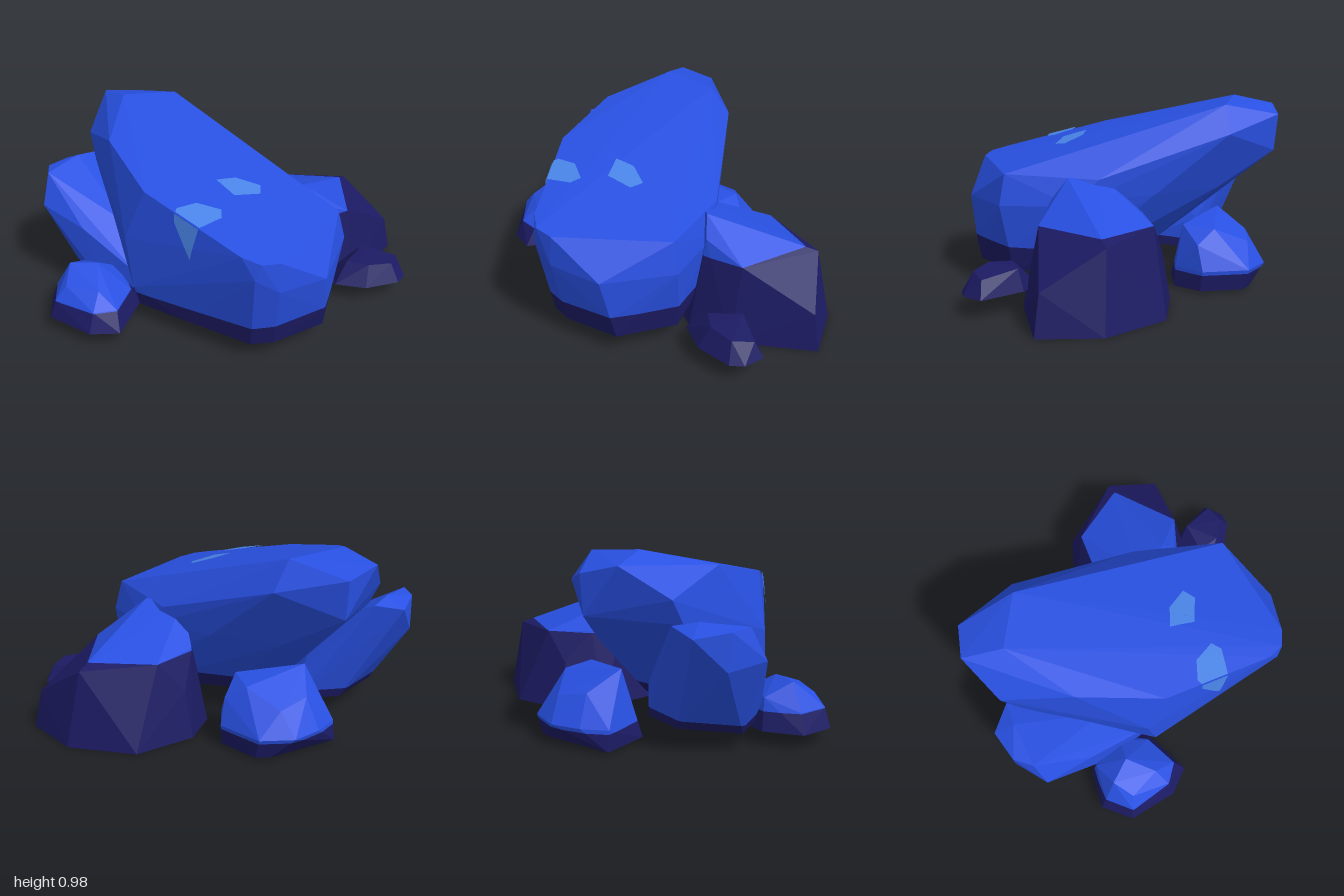
import * as THREE from 'three';
import { ConvexGeometry } from 'three/addons/geometries/ConvexGeometry.js';

const material = (name, color) => Object.assign(
  new THREE.MeshStandardMaterial({ color, flatShading: true, side: THREE.DoubleSide }), { name });

// Faceted hull as a list of triangles, left open underneath
function hull(points) {
  const p = new ConvexGeometry(points.map(a => new THREE.Vector3(...a))).getAttribute('position');
  const floor = Math.min(...points.map(a => a[1])) + 0.001;
  const faces = [];
  for (let i = 0; i < p.count; i += 3) {
    const f = [0, 1, 2].map(k => new THREE.Vector3().fromBufferAttribute(p, i + k));
    if (f.some(v => v.y > floor)) faces.push(f);
  }
  return faces;
}

// Keep the part of every face where a*x + b*y + c*z >= d
function clip(faces, [a, b, c, d]) {
  const side = v => a * v.x + b * v.y + c * v.z - d;
  return faces.map(f => {
    const out = [];
    f.forEach((v, i) => {
      const w = f[(i + 1) % f.length], s = side(v), t = side(w);
      if (s >= 0) out.push(v);
      if (s * t < 0) out.push(v.clone().lerp(w, s / (s - t)));
    });
    return out;
  }).filter(f => f.length > 2);
}

// Side planes of an upright prism over a convex x,z outline
const prism = outline => outline.map(([x, z], i) => {
  const [x2, z2] = outline[(i + 1) % outline.length];
  const a = z - z2, c = x2 - x;
  return [a, 0, c, a * x + c * z];
});

function meshOf(name, faces, mat, lift = 0) {
  const pos = [];
  for (const f of faces) {
    const n = new THREE.Vector3();
    for (let i = 1; i < f.length - 1; i++) {
      n.add(f[i].clone().sub(f[0]).cross(f[i + 1].clone().sub(f[0])));
    }
    n.setLength(lift);
    for (let i = 1; i < f.length - 1; i++) {
      for (const v of [f[0], f[i], f[i + 1]]) pos.push(v.x + n.x, v.y + n.y, v.z + n.z);
    }
  }
  const g = new THREE.BufferGeometry();
  g.setAttribute('position', new THREE.Float32BufferAttribute(pos, 3));
  g.computeVertexNormals();
  const mesh = new THREE.Mesh(g, mat);
  mesh.name = name;
  return mesh;
}

// Ring of points at one height, from x,z pairs
const ring = (y, ...xz) => xz.map(([x, z]) => [x, y, z]);

export function createModel() {
  const blue = material('rockBlue', 0x2850e2);
  const navy = material('baseNavy', 0x1c1b64);
  const pale = material('paleBlue', 0x4a86ea);
  const model = new THREE.Group();
  model.name = 'rockCluster';

  // A rock is blue above the line y = level + slope * x and navy below it
  function rock(name, points, level, slope = 0) {
    const faces = hull(points);
    const group = new THREE.Group();
    group.name = name;
    const upper = clip(faces, [-slope, 1, 0, level]);
    const lower = clip(faces, [slope, -1, 0, -level]);
    if (upper.length) group.add(meshOf(name + 'Top', upper, blue));
    group.add(meshOf(name + 'Base', lower, navy));
    model.add(group);
    return { group, faces };
  }

  // Large leaning slab
  const slab = rock('mainSlab', [
    ...ring(0.1, [-0.37, 0.46], [-0.1, 0.55], [0.27, 0.66], [0.38, 0.62], [0.6, 0.42],
      [0.6, 0.1], [0.4, -0.07], [-0.05, -0.08], [-0.32, 0.12]),
    ...ring(0.22, [-0.39, 0.48], [0.28, 0.68], [0.61, 0.45], [0.62, 0.1], [0.42, -0.1]),
    // belly
    [0.66, 0.45, 0.12], [0.61, 0.44, 0.5], [0.41, 0.46, 0.69], [0.3, 0.55, 0.745],
    [-0.43, 0.5, 0.45], [-0.78, 0.64, -0.1], [-0.68, 0.69, -0.54],
    [-0.38, 0.5, -0.41], [0, 0.5, -0.34], [0.4, 0.46, -0.16],
    // crown
    [-0.83, 0.77, -0.17], [-0.81, 0.93, -0.41], [-0.65, 0.975, -0.27], [-0.69, 0.885, -0.555],
    [-0.4, 0.945, -0.44], [-0.34, 0.8, -0.53], [-0.6, 0.88, 0.13], [-0.31, 0.79, 0.46],
    [0, 0.71, 0.61], [0.23, 0.655, 0.72], [0.33, 0.635, 0.735], [0.41, 0.62, 0.68], [0.62, 0.61, 0.13],
    [0.28, 0.59, -0.22], [-0.05, 0.65, -0.38],
  ], 0.2, 0.05);

  // Pale patches cut from the slab's own facets; the second folds over the front edge
  const patches = {
    topPatch: [[0, 1, 0, 0.6],
      ...prism([[0, 0.24], [0.085, 0.17], [0.214, 0.16], [0.225, 0.23], [0.11, 0.315]])],
    edgePatch: [[1.9, 1, 0, 0.455], [-1.53, 0.39, -1.2, -0.465],
      ...prism([[-0.13, 0.52], [-0.05, 0.45], [0.075, 0.45], [0.09, 0.51], [0.09, 0.8], [-0.13, 0.8]])],
  };
  for (const [name, planes] of Object.entries(patches)) {
    slab.group.add(meshOf(name, planes.reduce(clip, slab.faces), pale, 0.008));
  }

  // Big dark boulder with a blue sloping top
  rock('darkBoulder', [
    ...ring(0, [0.03, -0.3], [0.06, -0.52], [0.29, -0.74], [0.65, -0.735], [0.9, -0.545],
      [0.7, -0.15], [0.5, 0], [0.15, 0]),
    [0.86, 0.2, -0.53], [0.1, 0.25, -0.5], [0.59, 0.385, -0.67], [0.22, 0.41, -0.57],
    [0.1, 0.42, -0.35], [0.65, 0.41, -0.22], [0.48, 0.5, -0.09], [0.4, 0.6, -0.12], [0.2, 0.6, -0.12],
  ], 0.41);

  // Low dark pebble
  rock('pebble', [
    ...ring(0.1, [0.6, -0.1], [0.63, 0.065], [0.8, 0.065], [0.97, -0.03], [1, -0.1],
      [0.97, -0.21], [0.74, -0.22], [0.63, -0.17]),
    [0.68, 0.2, -0.03], [0.8, 0.21, 0], [0.92, 0.2, -0.06], [0.94, 0.185, -0.17], [0.75, 0.21, -0.19],
  ], 0.5);

  // Leaning side rock
  rock('sideRock', [
    ...ring(0.1, [-0.65, -0.09], [-0.8, 0.19], [-0.6, 0.36], [-0.4, 0.4], [-0.3, 0.15],
      [-0.43, -0.17]),
    [-0.85, 0.25, 0.14], [-1, 0.65, 0.05], [-0.96, 0.66, 0.15], [-0.87, 0.675, -0.06],
    [-0.96, 0.62, -0.12], [-0.81, 0.65, -0.17], [-1, 0.47, 0.03], [-0.97, 0.5, 0.23],
    [-0.72, 0.43, 0.31], [-0.39, 0.25, 0.41], [-0.5, 0.42, 0.2], [-0.7, 0.5, -0.17],
    [-0.46, 0.28, -0.18],
  ], 0.15);

  // Small front rock
  rock('frontRock', [
    ...ring(0.08, [-0.86, 0.48], [-0.8, 0.65], [-0.55, 0.74], [-0.4, 0.7], [-0.38, 0.4],
      [-0.52, 0.24], [-0.75, 0.31]),
    ...ring(0.18, [-0.82, 0.48], [-0.77, 0.63], [-0.54, 0.69], [-0.43, 0.64], [-0.42, 0.45]),
    [-0.74, 0.315, 0.47], [-0.6, 0.315, 0.44], [-0.72, 0.25, 0.59], [-0.54, 0.25, 0.6],
    [-0.72, 0.24, 0.33], [-0.53, 0.24, 0.34],
  ], 0.175);

  // Small back rock, bulging over its base
  rock('backRock', [
    ...ring(0.015, [-0.65, -0.43], [-0.36, -0.67], [-0.29, -0.69], [-0.1, -0.575],
      [-0.065, -0.42], [-0.2, -0.25], [-0.5, -0.22]),
    ...ring(0.12, [-0.64, -0.42], [-0.58, -0.55], [-0.48, -0.67], [-0.31, -0.715], [-0.1, -0.59],
      [-0.07, -0.42]),
    [-0.48, 0.37, -0.32], [-0.51, 0.27, -0.5], [-0.4, 0.24, -0.62], [-0.22, 0.32, -0.55],
    [-0.11, 0.25, -0.54], [-0.14, 0.33, -0.4],
  ], 0.1);

  return model;
}
